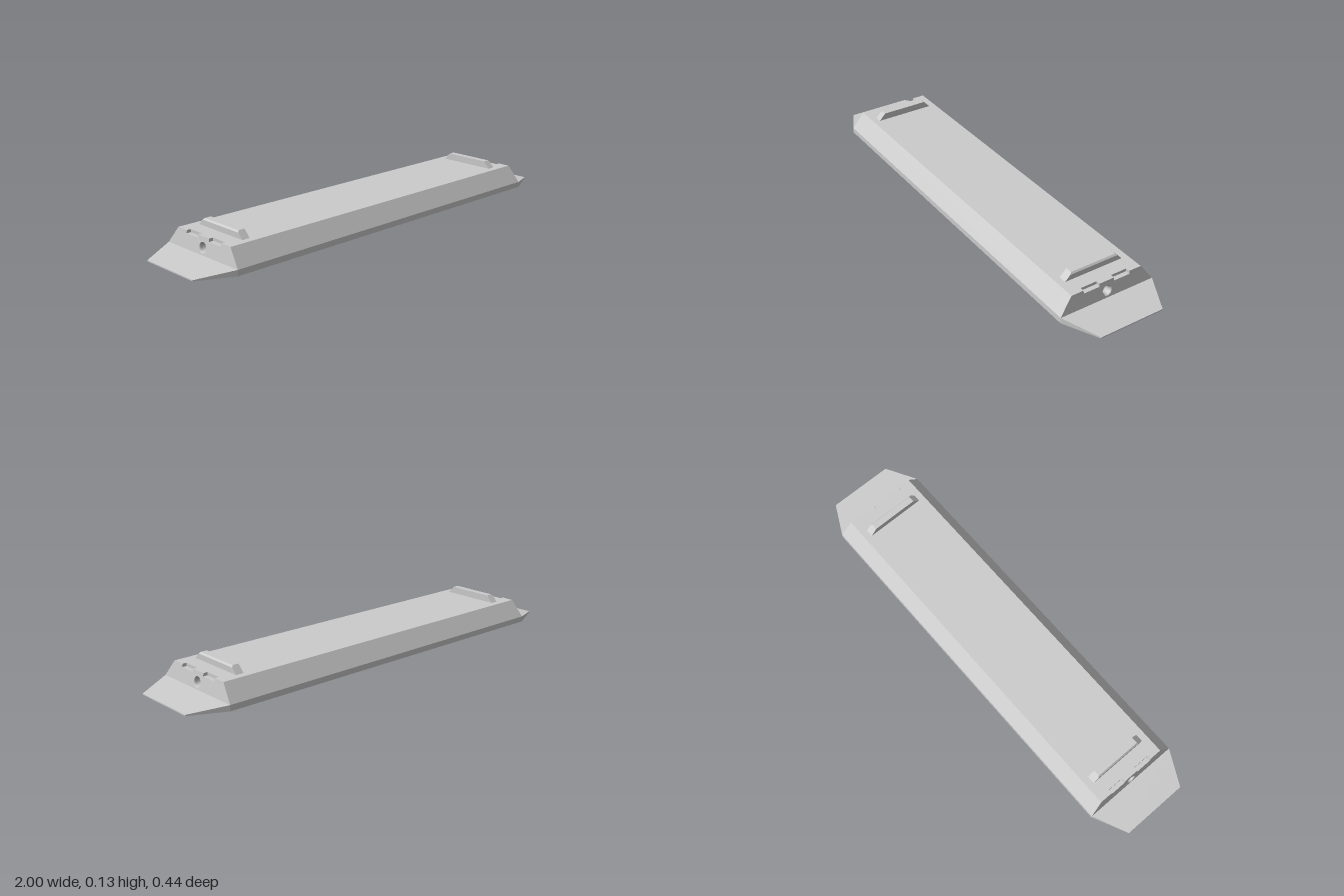
import * as THREE from 'three';

const material = new THREE.MeshStandardMaterial({ color: 0xcccccc, flatShading: true });
const openMaterial = new THREE.MeshStandardMaterial({ color: 0xcccccc, side: THREE.DoubleSide });

// Joins matching rings of points into a closed, flat-faced solid; skip(i, j) leaves a quad open
function loft(name, rings, skip = () => false) {
  const pos = [];
  const tri = (a, b, c) => {
    const [p, q, r] = [a, b, c].map(v => new THREE.Vector3(...v));
    if (q.sub(p).cross(r.sub(p)).length() > 1e-9) pos.push(...a, ...b, ...c);
  };
  const n = rings[0].length;
  for (let i = 0; i < rings.length - 1; i++) {
    for (let j = 0; j < n; j++) {
      if (skip(i, j)) continue;
      const k = (j + 1) % n;
      tri(rings[i][j], rings[i][k], rings[i + 1][k]);
      tri(rings[i][j], rings[i + 1][k], rings[i + 1][j]);
    }
  }
  const last = rings[rings.length - 1];
  for (let j = 1; j < n - 1; j++) {
    tri(rings[0][0], rings[0][j + 1], rings[0][j]);
    tri(last[0], last[j], last[j + 1]);
  }
  const geometry = new THREE.BufferGeometry();
  geometry.setAttribute('position', new THREE.Float32BufferAttribute(pos, 3));
  geometry.computeVertexNormals();
  const mesh = new THREE.Mesh(geometry, material);
  mesh.name = name;
  return mesh;
}

// Rectangular cross-section facing +x
const rect = (x, w, y0, y1) => [[x, y0, w], [x, y0, -w], [x, y1, -w], [x, y1, w]];

function createEnd(name) {
  const end = new THREE.Group();
  end.name = name;

  // End cap: side-on profiles swept across z, with two shallow notches in the top edge
  const base = [[0.81, 0], [0.85, 0], [0.85, 0.025]];
  const low = [...base, [0.85, 0.025], [0.85, 0.025], [0.82, 0.025], [0.81, 0.025]];
  const full = [...base, [0.84, 0.085], [0.838, 0.098], [0.82, 0.098], [0.81, 0.098]];
  const notched = [...base, [0.84, 0.085], [0.82, 0.085], [0.82, 0.098], [0.81, 0.098]];
  const sections = [
    [-0.222, low], [-0.167, full], [-0.11, full], [-0.11, notched], [-0.035, notched], [-0.035, full],
    [0.035, full], [0.035, notched], [0.11, notched], [0.11, full], [0.167, full], [0.222, low],
  ];
  const rings = sections.map(([z, profile]) => profile.map(([x, y]) => [x, y, z]));
  end.add(loft('endCap', rings, (i, j) => i === 5 && j === 2));

  // Sloping plate around the socket, and the socket bore itself
  const socket = new THREE.Group();
  socket.name = 'socket';
  socket.position.set(0.845, 0.055, 0);
  socket.rotation.set(-Math.atan2(0.01, 0.06), Math.PI / 2, 0, 'YXZ');
  const h = Math.hypot(0.01, 0.06) / 2;
  const shape = new THREE.Shape([
    new THREE.Vector2(-0.035, -h), new THREE.Vector2(0.035, -h),
    new THREE.Vector2(0.035, h), new THREE.Vector2(-0.035, h),
  ]);
  shape.holes.push(new THREE.Path().absarc(0, 0, 0.022, 0, Math.PI * 2, true));
  const plate = new THREE.Mesh(new THREE.ShapeGeometry(shape, 24), material);
  plate.name = 'socketPlate';
  const profile = [[0, -0.03], [0.017, -0.03], [0.017, -0.006], [0.022, 0]];
  const bore = new THREE.Mesh(
    new THREE.LatheGeometry(profile.map(p => new THREE.Vector2(...p)), 48), openMaterial);
  bore.name = 'socketBore';
  bore.rotation.x = Math.PI / 2;
  socket.add(plate, bore);
  end.add(socket);

  // Thin ramp tapering towards the tip
  end.add(loft('ramp', [rect(0.85, 0.222, 0, 0.025), rect(1, 0.148, 0, 0.005)]));

  // Raised stop bar with slanted ends and a small outer chamfer
  const bar = [[0.724, 0.097, 0.138], [0.759, 0.097, 0.138], [0.759, 0.122, 0.114],
    [0.753, 0.129, 0.107], [0.724, 0.129, 0.107]];
  end.add(loft('stopBar', [bar.map(([x, y, z]) => [x, y, -z]), bar]));
  return end;
}

export function createModel() {
  const model = new THREE.Group();
  model.name = 'platform';

  // Long body with sloping upper sides
  const section = [[0, 0.222], [0, -0.222], [0.025, -0.222],
    [0.098, -0.167], [0.098, 0.167], [0.025, 0.222]];
  model.add(loft('body', [-0.81, 0.81].map(x => section.map(([y, z]) => [x, y, z]))));

  // Matching ends
  const rightEnd = createEnd('rightEnd');
  rightEnd.rotation.y = Math.PI;
  model.add(createEnd('leftEnd'), rightEnd);
  return model;
}
